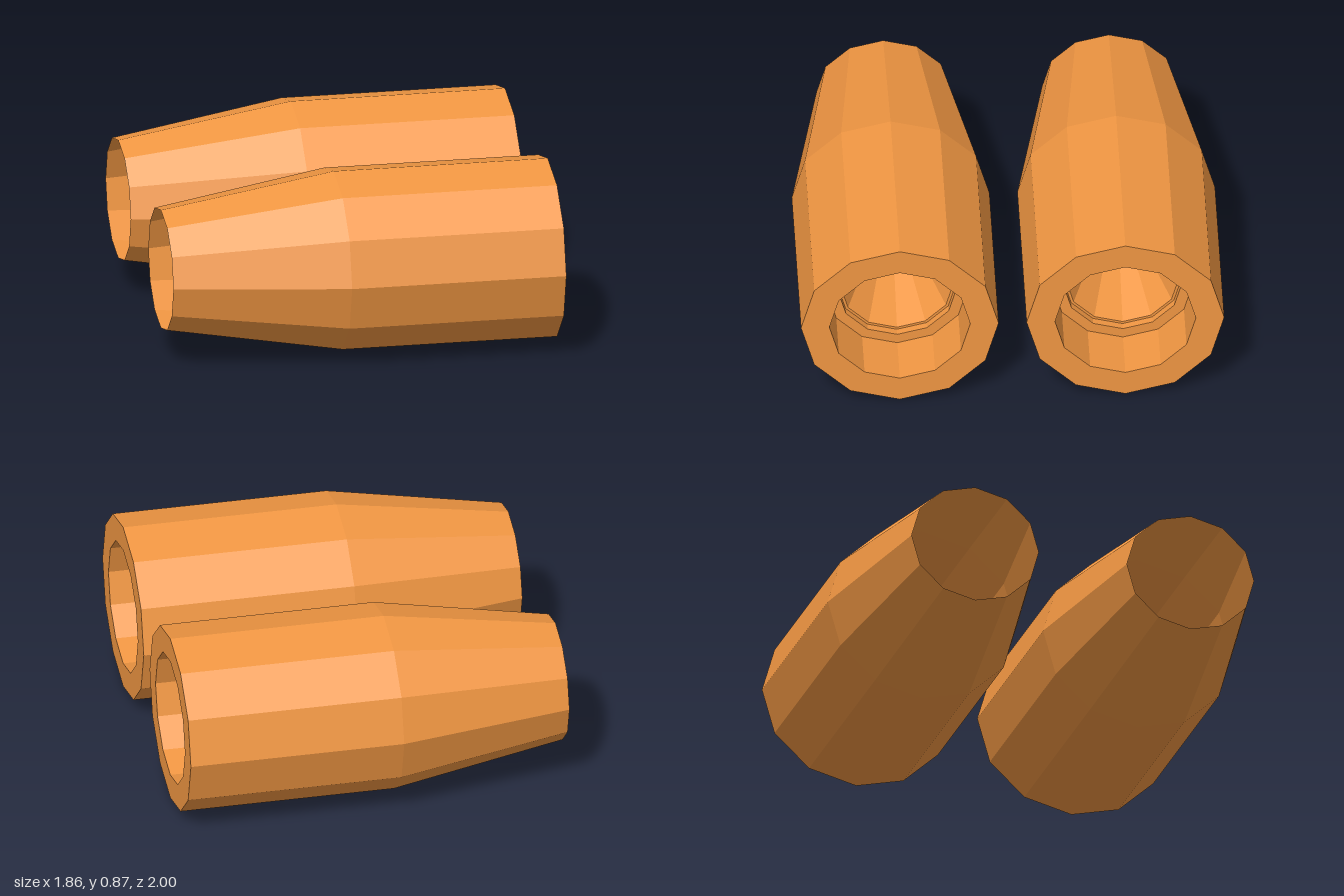
import * as THREE from 'three';

const SIDES = 12;
const material = new THREE.MeshStandardMaterial({ color: 0xf09642, flatShading: true, side: THREE.DoubleSide });

// Turned part along x; profile entries are [radius, x]
function turned(name, profile) {
  const geometry = new THREE.LatheGeometry(profile.map(([r, x]) => new THREE.Vector2(r, x)), SIDES);
  geometry.rotateZ(-Math.PI / 2);
  geometry.scale(1, 0.93, 1); // slightly flattened section
  const mesh = new THREE.Mesh(geometry, material);
  mesh.name = name;
  return mesh;
}

function createNacelle(name, z) {
  const nacelle = new THREE.Group();
  nacelle.name = name;
  // Tapered casing, open at the narrow end
  nacelle.add(turned('casing', [[0.315, -0.93], [0.467, -0.1], [0.467, 0.93]]));
  // Flat rim and the recessed bore behind it
  nacelle.add(turned('rimAndBore', [[0.467, 0.93], [0.333, 0.93], [0.333, 0.65]]));
  // Stepped ring at the bottom of the bore
  nacelle.add(turned('steppedRing', [[0.333, 0.65], [0.28, 0.65], [0.28, 0.61], [0.267, 0.61]]));
  // Funnel narrowing to a small blunt tip
  nacelle.add(turned('funnel', [[0.267, 0.61], [0.083, 0.15], [0.016, -0.1], [0, -0.1]]));
  nacelle.position.set(0, 0.434, z);
  return nacelle;
}

export function createModel() {
  const model = new THREE.Group();
  model.name = 'twinNacelles';
  model.add(createNacelle('frontNacelle', 0.533), createNacelle('backNacelle', -0.533));
  return model;
}
